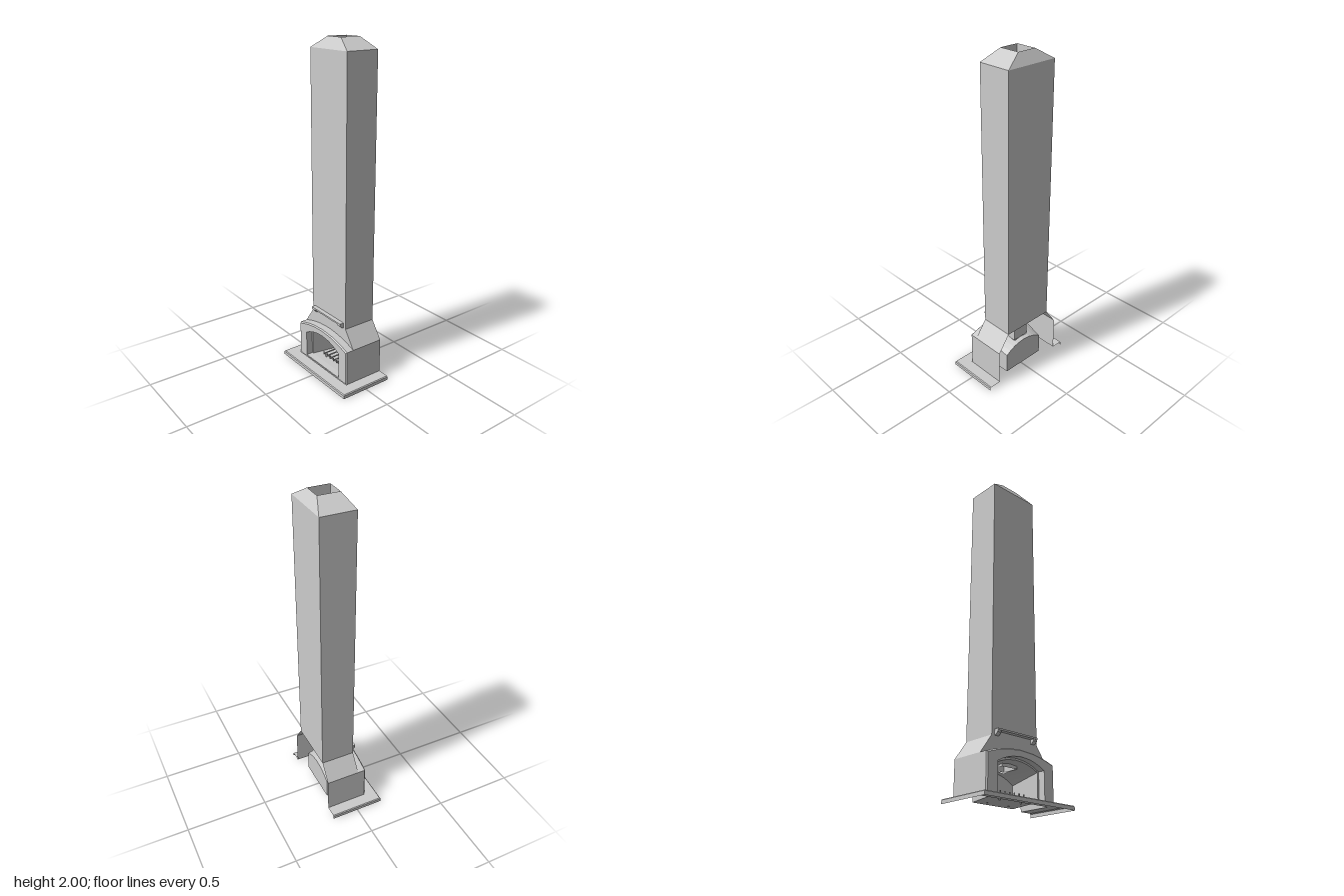
import * as THREE from 'three';

const grey = new THREE.MeshStandardMaterial({ color: 0xcccccc, flatShading: true, side: THREE.DoubleSide });
const BACK = -0.167, WALL = 0.04; // rear plane and front plane of the chimney body

// Skin a list of equal-length point rings; skip(i, j) leaves a cell open
function loft(rings, closed = true, skip = () => false) {
  const out = [];
  for (let i = 0; i < rings.length - 1; i++) {
    const a = rings[i], b = rings[i + 1], n = a.length;
    for (let j = 0; j < (closed ? n : n - 1); j++) {
      if (skip(i, j)) continue;
      const k = (j + 1) % n;
      out.push(...a[j], ...a[k], ...b[k], ...a[j], ...b[k], ...b[j]);
    }
  }
  const g = new THREE.BufferGeometry();
  g.setAttribute('position', new THREE.Float32BufferAttribute(out, 3));
  g.computeVertexNormals();
  return g;
}

// Arched doorway outline: half width, bottom, spring height, crown height, depth
const steps = [1, 0.8, 0.58, 0.36, 0, -0.36, -0.58, -0.8, -1];
const arch = (w, bottom, spring, crown, z) => [
  [-w, bottom, z], [w, bottom, z],
  ...steps.map(t => [w * t, spring + (crown - spring) * (1 - t * t), z]),
];

// Horizontal rectangle used by the chimney and flue
const rect = (x, z0, z1, y) => [[-x, y, z1], [x, y, z1], [x, y, z0], [-x, y, z0]];

export function createModel() {
  const group = new THREE.Group();
  const add = (name, geometry, parent = group) => {
    const m = new THREE.Mesh(geometry, grey);
    m.name = name;
    parent.add(m);
    return m;
  };

  // Hearth slab: bevelled shell, open at the back and beneath the body
  const edge = (x, z, y) => [[-x, y, BACK], [-x, y, z], [x, y, z], [x, y, BACK]];
  add('hearthSlab', loft([
    edge(0.313, 0.166, 0), edge(0.313, 0.166, 0.02), edge(0.308, 0.161, 0.025), edge(0.238, 0.09, 0.025),
  ], false));

  // Side walls with sloping shoulders
  for (const s of [-1, 1]) {
    const side = z => [[s * 0.238, 0.025, z], [s * 0.238, 0.24, z], [s * 0.163, 0.345, z]];
    add(s > 0 ? 'leftWall' : 'rightWall', loft([side(BACK), side(WALL)], false));
  }

  // Front panel above the arched surround
  const panel = new THREE.Shape();
  panel.moveTo(0.238, 0.24);
  panel.lineTo(0.163, 0.345);
  panel.lineTo(-0.163, 0.345);
  panel.lineTo(-0.238, 0.24);
  panel.quadraticCurveTo(0, 0.32, 0.238, 0.24);
  add('shoulderPanel', new THREE.ShapeGeometry(panel).translate(0, 0, WALL));

  // Arched surround with bevelled front edge and stepped opening
  add('archSurround', loft([
    arch(0.238, 0.025, 0.24, 0.285, WALL),
    arch(0.238, 0.025, 0.24, 0.285, 0.085),
    arch(0.231, 0.03, 0.234, 0.278, 0.092),
    arch(0.165, 0.038, 0.2, 0.246, 0.092),
    arch(0.165, 0.038, 0.2, 0.246, 0.05),
    arch(0.155, 0.038, 0.195, 0.236, 0.05),
  ]));

  // Firebox tapering to the rear, with the flue hole left open in its roof
  const boxRing = z => {
    const t = (0.05 - z) / 0.18, mix = THREE.MathUtils.lerp;
    return arch(mix(0.155, 0.142, t), mix(0.038, 0.025, t), mix(0.195, 0.15, t), mix(0.236, 0.2, t), z);
  };
  const rear = boxRing(-0.13);
  add('firebox', loft(
    [boxRing(0.05), boxRing(0), boxRing(-0.103), rear, rear.map(() => [0, 0.1, -0.13])],
    true, (i, j) => i === 1 && (j === 5 || j === 6),
  ));

  // Chimney stack and sloping crown, then the flue liner running down inside
  add('chimneyStack', loft([
    rect(0.163, BACK, WALL, 0.345), rect(0.163, BACK, WALL, 1.937), rect(0.058, -0.127, 0, 2),
  ]));
  add('flueLiner', loft([rect(0.058, -0.127, 0, 2), rect(0.053, -0.103, 0, 0.205)]));

  // Mantel shelf on two wedge brackets
  add('mantelShelf', new THREE.BoxGeometry(0.284, 0.01, 0.027).translate(0.002, 0.375, 0.0535));
  const wedge = new THREE.Shape();
  wedge.moveTo(0, 0.345);
  wedge.lineTo(0.008, 0.347);
  wedge.lineTo(0.024, 0.36);
  wedge.lineTo(0.024, 0.37);
  wedge.lineTo(0, 0.37);
  for (const x of [-0.13, 0.13]) {
    const g = new THREE.ExtrudeGeometry(wedge, { depth: 0.026, bevelEnabled: false });
    g.rotateY(-Math.PI / 2).translate(x + 0.013, 0, WALL);
    add('shelfBracket', g);
  }

  // Fire grate: bars with upturned tips on two cross rails with feet
  const grate = new THREE.Group();
  grate.name = 'fireGrate';
  group.add(grate);
  for (let i = 0; i < 6; i++) {
    const x = -0.083 + i * 0.0332;
    add('grateBar', new THREE.BoxGeometry(0.006, 0.006, 0.115).translate(x, 0.059, -0.039), grate);
    add('barTip', new THREE.BoxGeometry(0.006, 0.018, 0.006).translate(x, 0.065, 0.018), grate);
  }
  for (const z of [-0.09, 0.005]) {
    add('grateRail', new THREE.BoxGeometry(0.172, 0.006, 0.006).translate(0, 0.053, z), grate);
    for (const x of [-0.075, 0.075])
      add('grateFoot', new THREE.BoxGeometry(0.006, 0.03, 0.006).translate(x, 0.04, z), grate);
  }
  return group;
}
